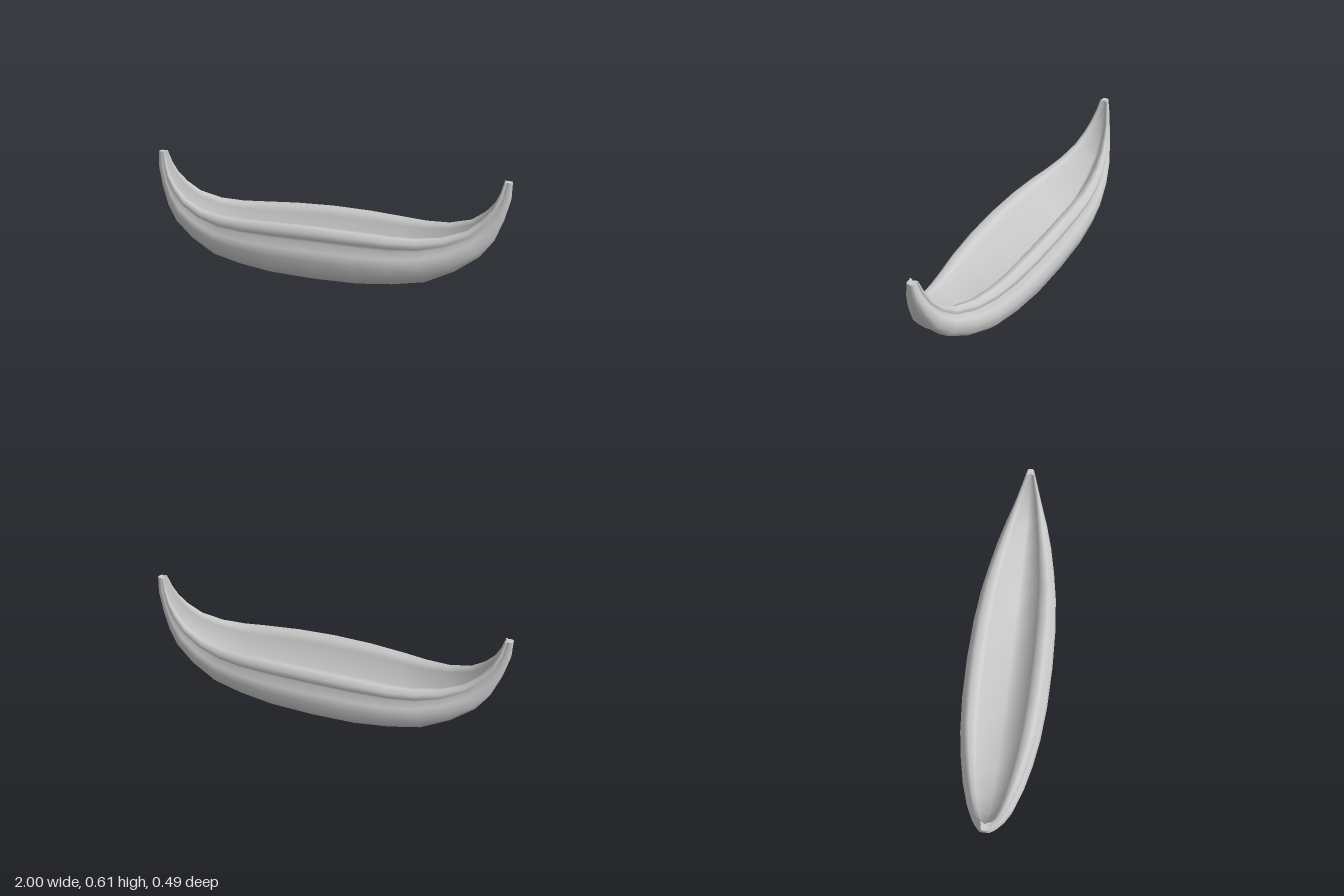
import * as THREE from 'three';

// Stations from midship to tip: [bottomX, bottomY, rimX, rimY, halfWidth, taper]
const STATIONS = [
  [0, 0, 0, 0.32, 0.247, 0],
  [0.25, 0.005, 0.22, 0.316, 0.241, 0],
  [0.44, 0.025, 0.42, 0.307, 0.223, 0],
  [0.61, 0.055, 0.55, 0.305, 0.197, 0],
  [0.76, 0.13, 0.68, 0.318, 0.163, 0],
  [0.875, 0.215, 0.8, 0.36, 0.122, 0],
  [0.935, 0.3, 0.872, 0.42, 0.091, 0.1],
  [0.975, 0.41, 0.918, 0.48, 0.067, 0.3],
  [1, 0.52, 0.943, 0.54, 0.046, 0.55],
  [1, 0.61, 0.96, 0.61, 0.027, 0.75],
];

// Half cross-section [across, up]: keel, bulging side, groove, rolled rim, V-shaped inside
const OUTER = [[0, 0.038], [0.34, 0], [0.73, 0.06], [0.94, 0.22], [1, 0.455],
  [0.94, 0.61], [0.81, 0.74], [0.88, 0.81], [0.88, 0.91], [0.77, 1]];
const INNER = [[0.6, 0.975], [0.53, 0.87], [0, 0.1]];

// Closed section loop; towards the tips the floor rises and the side narrows below the rim
function sectionLoop(taper) {
  const pinch = ([u, v]) => [v < 0.75 ? u * (1 - 0.4 * taper) : u, v];
  const raise = ([u, v]) => [u, v + taper * (1 - v)];
  const half = [...OUTER.map(pinch), ...INNER.map(raise)];
  const mirrored = half.slice(1, -1).reverse().map(([u, v]) => [-u, v]);
  return [...half, ...mirrored];
}

function stationPoints(k) {
  const [bx, by, tx, ty, w, taper] = STATIONS[Math.abs(k)];
  const side = Math.sign(k);
  return sectionLoop(taper).map(([u, v]) => new THREE.Vector3(
    side * (bx + (tx - bx) * v), by + (ty - by) * v, w * u));
}

// Loft all stations from one tip to the other
function hullGeometry() {
  const last = STATIONS.length - 1;
  const points = [], index = [];
  for (let k = -last; k <= last; k++) points.push(...stationPoints(k));
  const n = points.length / (2 * last + 1);
  for (let i = 0; i < 2 * last; i++) {
    for (let j = 0; j < n; j++) {
      const a = i * n + j, c = i * n + (j + 1) % n;
      index.push(a, a + n, c, a + n, c + n, c);
    }
  }
  const geometry = new THREE.BufferGeometry().setFromPoints(points);
  geometry.setIndex(index);
  geometry.computeVertexNormals();
  return geometry;
}

// Flat end of the bow or stern
function tipGeometry(side) {
  const last = STATIONS.length - 1;
  const outline = sectionLoop(STATIONS[last][5]).map(([u, v]) => new THREE.Vector2(u, v));
  const faces = THREE.ShapeUtils.triangulateShape(outline, []);
  const geometry = new THREE.BufferGeometry().setFromPoints(stationPoints(side * last));
  geometry.setIndex(faces.flatMap(([a, b, c]) => (side > 0 ? [a, c, b] : [a, b, c])));
  geometry.computeVertexNormals();
  return geometry;
}

export function createModel() {
  const group = new THREE.Group();
  group.name = 'canoe';
  const material = new THREE.MeshStandardMaterial({ color: 0xcccccc });
  const add = (name, geometry) => {
    const mesh = new THREE.Mesh(geometry, material);
    mesh.name = name;
    group.add(mesh);
  };
  add('hull', hullGeometry());
  add('leftTip', tipGeometry(1));
  add('rightTip', tipGeometry(-1));
  return group;
}
